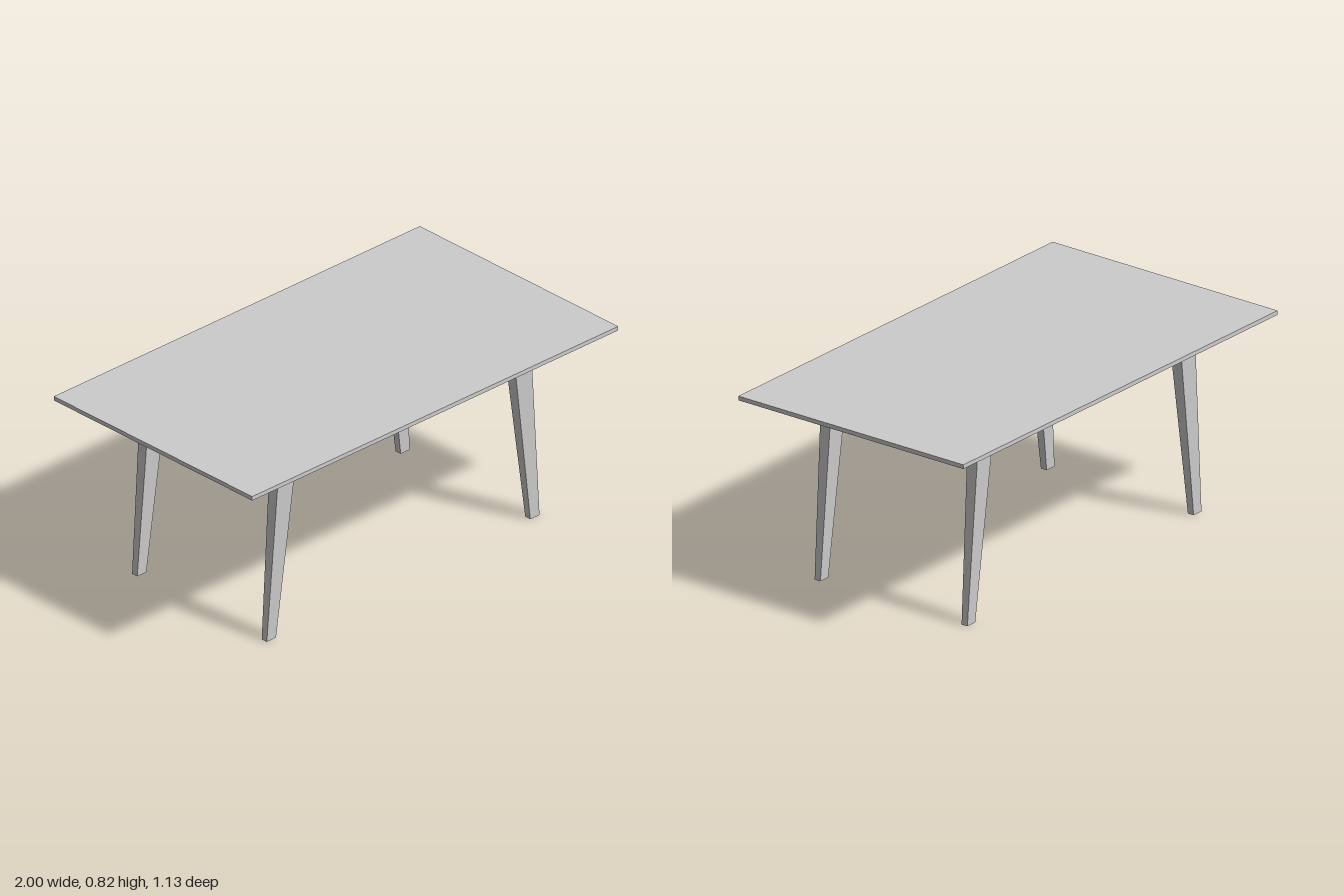
import * as THREE from 'three';

const material = new THREE.MeshStandardMaterial({ color: 0xcccccc, flatShading: true });

function box(name, w, h, d, x, y, z) {
  const mesh = new THREE.Mesh(new THREE.BoxGeometry(w, h, d), material);
  mesh.name = name;
  mesh.position.set(x, y, z);
  return mesh;
}

// Tapered, splayed leg: a box whose corners move to the top or foot section
function leg(name, sx, sz) {
  const geometry = new THREE.BoxGeometry(1, 1, 1);
  const p = geometry.attributes.position;
  const top = { x: 0.639, z: 0.368, w: 0.096, d: 0.055 };
  const foot = { x: 0.72, z: 0.369, w: 0.05, d: 0.029 };
  for (let i = 0; i < p.count; i++) {
    const upper = p.getY(i) > 0;
    const s = upper ? top : foot;
    p.setXYZ(i, sx * s.x + p.getX(i) * s.w, upper ? 0.802 : 0, sz * s.z + p.getZ(i) * s.d);
  }
  geometry.computeVertexNormals();
  const mesh = new THREE.Mesh(geometry, material);
  mesh.name = name;
  return mesh;
}

export function createModel() {
  const table = new THREE.Group();
  table.name = 'table';
  table.add(box('tableTop', 2, 0.018, 1.13, 0, 0.814, 0));

  // Underframe sits very slightly off centre beneath the top
  const base = new THREE.Group();
  base.name = 'base';
  base.position.set(-0.003, 0, 0.002);
  base.add(box('apron', 1.33, 0.097, 0.736, 0, 0.7565, 0));
  for (const sx of [-1, 1]) {
    for (const sz of [-1, 1]) {
      base.add(leg((sz > 0 ? 'front' : 'back') + (sx > 0 ? 'Left' : 'Right') + 'Leg', sx, sz));
    }
  }
  table.add(base);
  return table;
}
